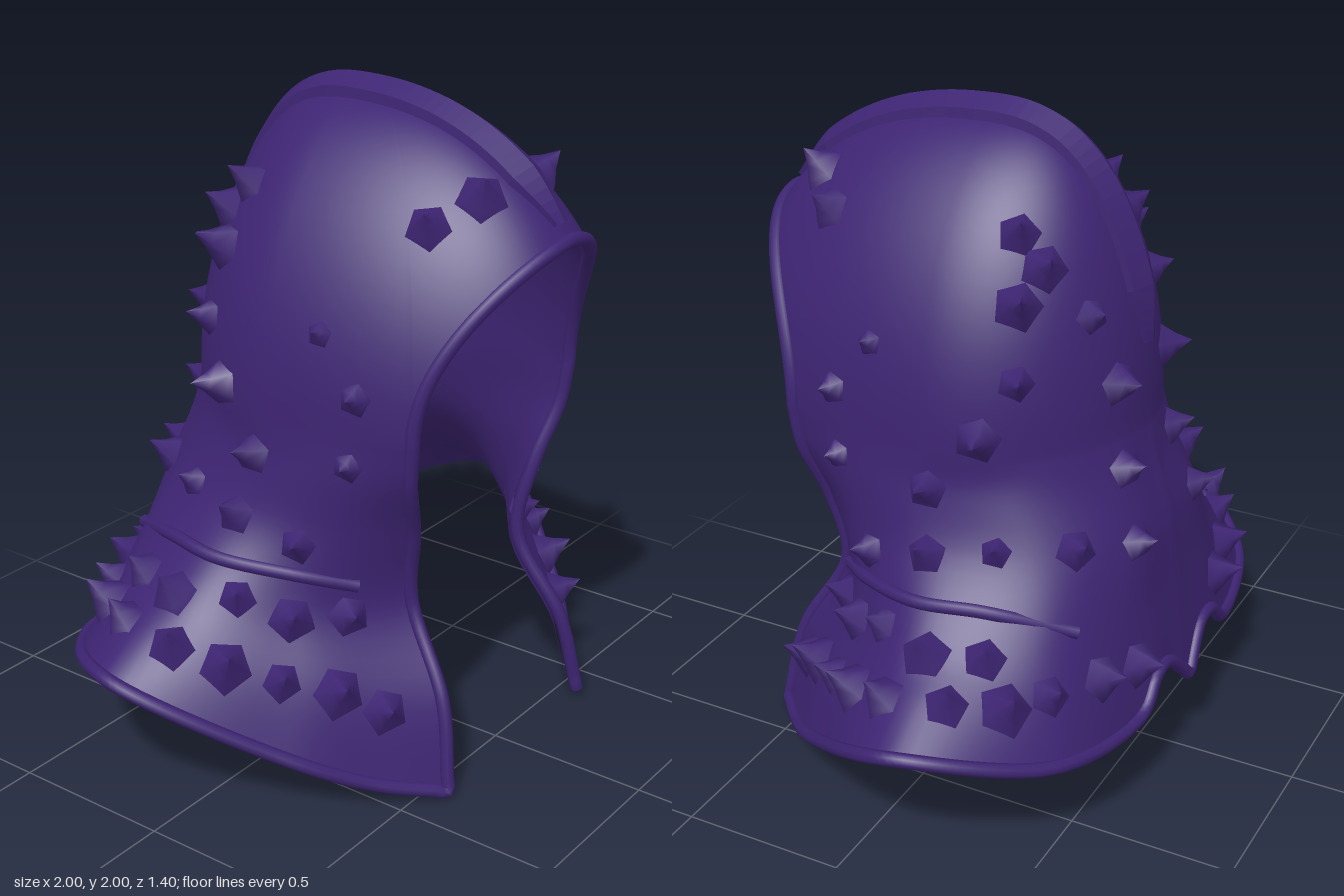
import * as THREE from 'three';
import { mergeVertices, mergeGeometries } from 'three/addons/utils/BufferGeometryUtils.js';

const V = (x, y, z) => new THREE.Vector3(x, y, z);
const curveOf = pts => new THREE.CatmullRomCurve3(pts.map(p => V(...p)));
const range = (a, b, n) => Array.from({ length: n + 1 }, (_, i) => a + (b - a) * i / n);
const SEAM = 1.1, TOP = 1.95, RIM_X = 0.41, ARCH = 0.52, THICKNESS = 0.028;
const RIM_ANGLE = Math.acos(RIM_X / 0.49);

// Point on the domed crown: a = -PI/2 at the back, 0 at the side, PI/2 at the front
function crownPoint(a, y, side) {
  const s = Math.min(1, (y - SEAM) / (TOP - SEAM)), k = Math.max(0, 1 - s * s);
  const depth = a < 0 ? 0.49 * k ** 0.4 : 0.85 * k ** 0.45;
  return V(side * 0.49 * k ** 0.62 * Math.cos(a), y, depth * Math.sin(a));
}

// Height of the face opening's arch at a given angle
function archHeight(a) {
  if (a <= RIM_ANGLE) return SEAM;
  let lo = SEAM, hi = SEAM + ARCH;
  for (let i = 0; i < 40; i++) {
    const y = (lo + hi) / 2, q = (y - SEAM) / ARCH;
    if (crownPoint(a, y, 1).x < RIM_X * (1 - q * q) ** 0.55) lo = y; else hi = y;
  }
  return lo;
}

// Half outlines of the cape from the back centre to the face opening
const hem = curveOf([[0, 0.27, -0.65], [0.13, 0.38, -0.63], [0.21, 0.38, -0.63], [0.31, 0.3, -0.63],
  [0.7, 0.33, -0.53], [0.98, 0.42, -0.17], [0.72, 0.19, 0.25], [0.53, 0.075, 0.43], [0.365, 0.02, 0.57]]);
const shoulder = curveOf([[0, 0.6, -0.6], [0.3, 0.6, -0.57], [0.58, 0.6, -0.42], [0.72, 0.6, -0.1],
  [0.55, 0.55, 0.18], [0.285, 0.55, 0.38]]);
const neck = curveOf([[0, 0.8, -0.57], [0.25, 0.8, -0.54], [0.47, 0.8, -0.36], [0.55, 0.8, -0.03],
  [0.48, 0.78, 0.22], [0.32, 0.78, 0.41]]);
const jaw = curveOf([[0, 0.97, -0.52], [0.22, 0.97, -0.48], [0.42, 0.97, -0.3], [0.5, 0.97, 0],
  [0.475, 0.97, 0.25], [0.395, 0.97, 0.45]]);

const angleAt = u => u <= 1
  ? u * (Math.PI / 2 + RIM_ANGLE) - Math.PI / 2
  : RIM_ANGLE + (Math.PI / 2 - RIM_ANGLE) * (u - 1) ** 2;

// Column of points on the cape, from hem to seam, bulging forward at the front flaps
function capeColumn(u, rows) {
  const m = Math.abs(u), side = u < 0 ? -1 : 1;
  const pts = [hem, shoulder, neck, jaw].map(c => c.getPointAt(m));
  const flap = pts[0].clone().lerp(pts[1], 0.5);
  flap.z += 0.045 * m ** 4;
  pts.splice(1, 0, flap);
  pts.push(crownPoint(angleAt(m), SEAM, 1));
  return new THREE.CatmullRomCurve3(pts.map(p => p.multiply(V(side, 1, 1)))).getPoints(rows);
}

// Column of points on the crown, from seam or arch to the apex
function crownColumn(u, rows) {
  const a = angleAt(Math.abs(u)), base = archHeight(a);
  return range(0, Math.PI / 2, rows).map(t =>
    crownPoint(a, base + (TOP - base) * Math.sin(t), u < 0 ? -1 : 1));
}

// Surface through a list of point columns
function loft(columns) {
  const n = columns[0].length, idx = [];
  for (let i = 0; i < columns.length - 1; i++)
    for (let j = 0; j < n - 1; j++) {
      const a = i * n + j, b = a + n;
      idx.push(a, a + 1, b, b, a + 1, b + 1);
    }
  const g = new THREE.BufferGeometry().setFromPoints(columns.flat());
  g.setIndex(idx);
  return g;
}

// Rows of spikes on one side, each spaced along a rough line that is snapped to the shell
const spikeRows = [
  { count: 2, r: 0.065, h: 0.08, line: [[0.27, 1.68, 0.42], [0.14, 1.74, 0.5]] },
  { count: 4, r: 0.06, h: 0.08, line: [[0.17, 1.02, -0.5], [0.15, 1.27, -0.46], [0.27, 1.64, -0.28]] },
  { count: 5, r: 0.062, h: 0.095, line: [[0.5, 0.98, -0.02], [0.43, 1.25, -0.25], [0.3, 1.72, -0.22]] },
  { count: 3, r: 0.045, h: 0.055, line: [[0.48, 1, 0.3], [0.48, 1.22, 0.3], [0.46, 1.4, 0.17]] },
  { count: 5, r: 0.055, h: 0.08, line: [[0.2, 0.82, -0.55], [0.5, 0.82, -0.25], [0.54, 0.76, 0.15]] },
  { count: 5, r: 0.065, h: 0.08, line: [[0.45, 0.52, 0.27], [0.7, 0.6, -0.13], [0.66, 0.58, -0.3]] },
  { count: 10, r: 0.068, h: 0.095, line: [[0.46, 0.3, 0.43], [0.77, 0.46, 0.06], [0.76, 0.5, -0.37], [0.3, 0.46, -0.6]] },
];

// Nearest shell point and its normal
function snap(shell, target) {
  const { position, normal } = shell.attributes, p = V(0, 0, 0);
  let best = 0, nearest = Infinity;
  for (let k = 0; k < position.count; k++) {
    const d = p.fromBufferAttribute(position, k).distanceToSquared(target);
    if (d < nearest) { nearest = d; best = k; }
  }
  return { p: p.fromBufferAttribute(position, best), n: V(0, 0, 0).fromBufferAttribute(normal, best) };
}

export function createModel() {
  const group = new THREE.Group();
  const purple = new THREE.MeshStandardMaterial({ color: 0x3d2472, side: THREE.DoubleSide });
  purple.name = 'deep purple';
  const add = (name, geometry) => {
    const mesh = new THREE.Mesh(geometry, purple);
    mesh.name = name;
    group.add(mesh);
    return mesh;
  };

  // Hood shell: flared cape joined to the crown
  const cape = range(-1, 1, 120).map(u => capeColumn(u, 28));
  const crown = range(-2, 2, 240).map(u => crownColumn(u, 24));
  const shell = mergeVertices(mergeGeometries([loft(cape), loft(crown)]), 1e-4);
  shell.computeVertexNormals();
  add('hoodShell', shell);

  // Smooth lining just inside the shell
  const lining = shell.clone();
  const inner = lining.attributes.position, normals = lining.attributes.normal;
  for (let k = 0; k < inner.count; k++) {
    const n = V(0, 0, 0).fromBufferAttribute(normals, k);
    const p = V(0, 0, 0).fromBufferAttribute(inner, k).addScaledVector(n, -THICKNESS);
    inner.setXYZ(k, p.x, p.y, p.z);
  }
  add('lining', lining);

  // Rolled border around the face opening and the hem
  const arch = [...range(-1, -2, 24), ...range(2, 1, 24)].map(u => crownColumn(u, 1)[0]);
  const border = [...cape[0], ...arch, ...[...cape[120]].reverse(), ...cape.map(c => c[0]).reverse()];
  const path = border.filter((p, i) => p.distanceTo(border[(i + 1) % border.length]) > 0.004);
  add('rolledBorder', new THREE.TubeGeometry(new THREE.CatmullRomCurve3(path, true), 400, 0.021, 8, true));

  // Pointed crest running over the crown from brow to nape
  const front = range(1.66, 1.945, 12).map(y => crownPoint(Math.PI / 2, y, 1));
  const back = range(1.945, 1.34, 18).map(y => crownPoint(-Math.PI / 2, y, 1));
  const ridge = new THREE.CatmullRomCurve3([...front, ...back]);
  const stations = range(0, 1, 48).map(t => {
    const p = ridge.getPointAt(t), d = ridge.getTangentAt(t), out = V(0, -d.z, d.y);
    const f = Math.min(1, 0.4 + 6 * Math.min(t, 1 - t)), w = 0.07 * f;
    return [[-w, -0.02], [-w * 0.95, 0.012], [0, 0.045 * f], [w * 0.95, 0.012], [w, -0.02]]
      .map(([x, h]) => p.clone().addScaledVector(out, h).setX(x));
  });
  const crest = loft(stations).toNonIndexed();
  crest.computeVertexNormals();
  add('crest', crest);

  // Five-sided spikes, mirrored on both sides
  for (const { count, r, h, line } of spikeRows) {
    const profile = [[r * 1.15, -0.014], [r * 0.9, 0.008], [r * 0.42, h * 0.5], [0, h]];
    const geometry = new THREE.LatheGeometry(profile.map(q => new THREE.Vector2(...q)), 5);
    range(0, 1, count - 1).forEach((t, i) => [1, -1].forEach(side => {
      const { p, n } = snap(shell, curveOf(line).getPointAt(t).multiply(V(side, 1, 1)));
      const spike = add('spike', geometry);
      spike.position.copy(p);
      spike.quaternion.setFromUnitVectors(V(0, 1, 0), n.add(V(0, 0.12, 0)).normalize());
      spike.rotateY(i * 1.3 + side);
      spike.scale.setScalar(1 + 0.15 * Math.sin(i * 2.4));
    }));
  }

  // Low folds lying across the shoulders
  [1, -1].forEach(side => {
    const fold = [[0.42, 0.62, 0.28], [0.56, 0.66, 0.16], [0.64, 0.69, -0.05], [0.61, 0.69, -0.27], [0.46, 0.64, -0.48]];
    const points = fold.map(q => snap(shell, V(...q).multiply(V(side, 1, 1))).p);
    add('shoulderFold', new THREE.TubeGeometry(new THREE.CatmullRomCurve3(points), 40, 0.02, 8));
  });
  return group;
}
